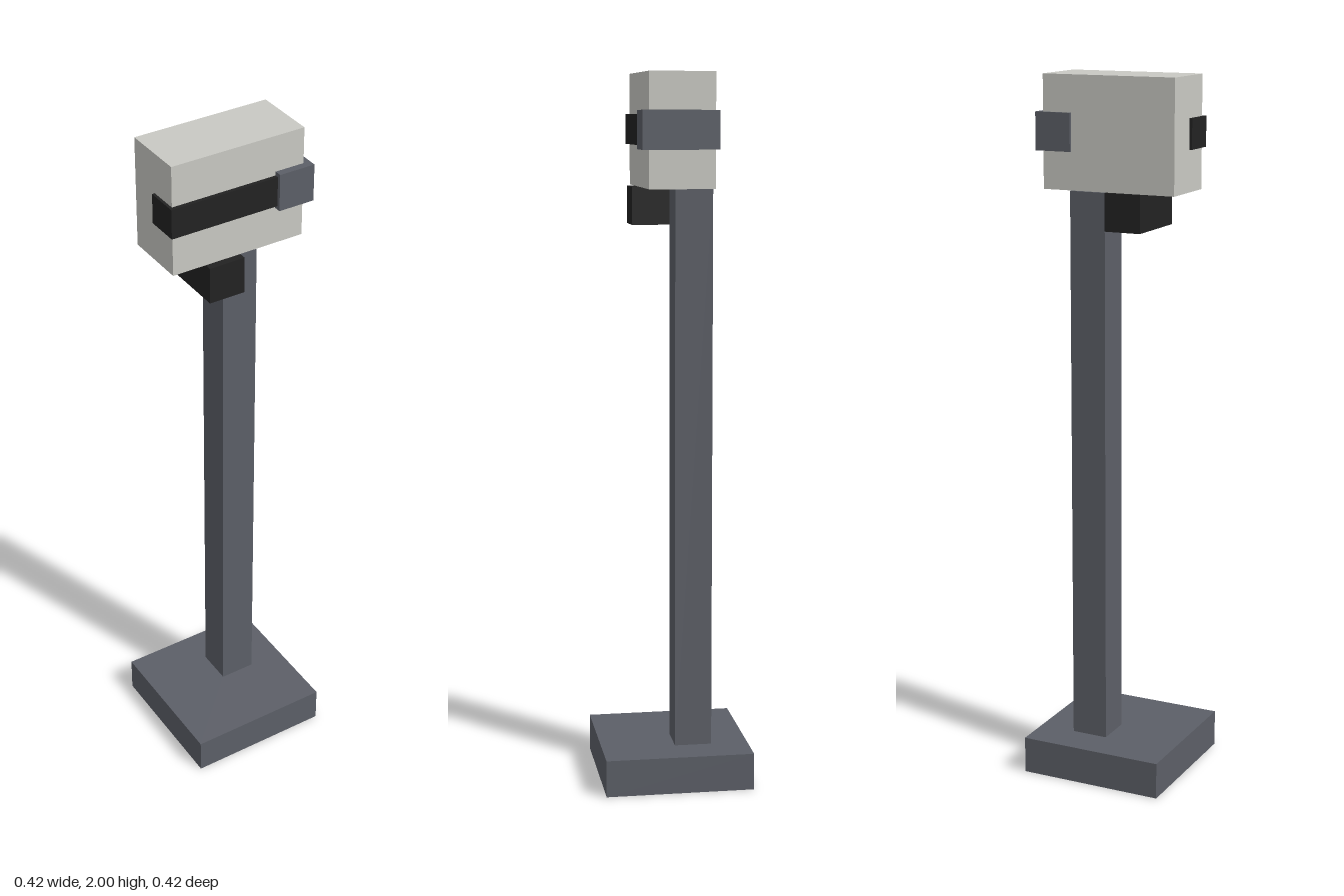
import * as THREE from 'three';

const material = (name, color) => {
  const m = new THREE.MeshStandardMaterial({ color });
  m.name = name;
  return m;
};

export function createModel() {
  const model = new THREE.Group();
  model.name = 'postMountedViewer';
  const slate = material('slateGrey', 0x5c5f67);
  const pale = material('paleGrey', 0xc9c9c3);
  const black = material('black', 0x222222);

  // Box given by its lower and upper corners
  const block = (name, mat, [x0, y0, z0], [x1, y1, z1]) => {
    const mesh = new THREE.Mesh(new THREE.BoxGeometry(x1 - x0, y1 - y0, z1 - z0), mat);
    mesh.position.set((x0 + x1) / 2, (y0 + y1) / 2, (z0 + z1) / 2);
    mesh.name = name;
    model.add(mesh);
  };

  // Stand
  block('base', slate, [-0.21, 0, -0.21], [0.21, 0.105, 0.21]);
  block('post', slate, [0, 0.105, -0.105], [0.105, 1.688, 0]);

  // Head and the block hanging beneath it
  block('head', pale, [-0.202, 1.688, -0.097], [0.19, 2, 0.084]);
  block('underBlock', black, [-0.105, 1.583, -0.105], [0, 1.688, 0.105]);

  // Dark band across the front, with a grey clamp wrapped round one side
  block('frontBand', black, [-0.21, 1.803, 0], [0.105, 1.887, 0.095]);
  block('sideClamp', slate, [0.105, 1.793, -0.105], [0.21, 1.898, 0.105]);

  return model;
}
